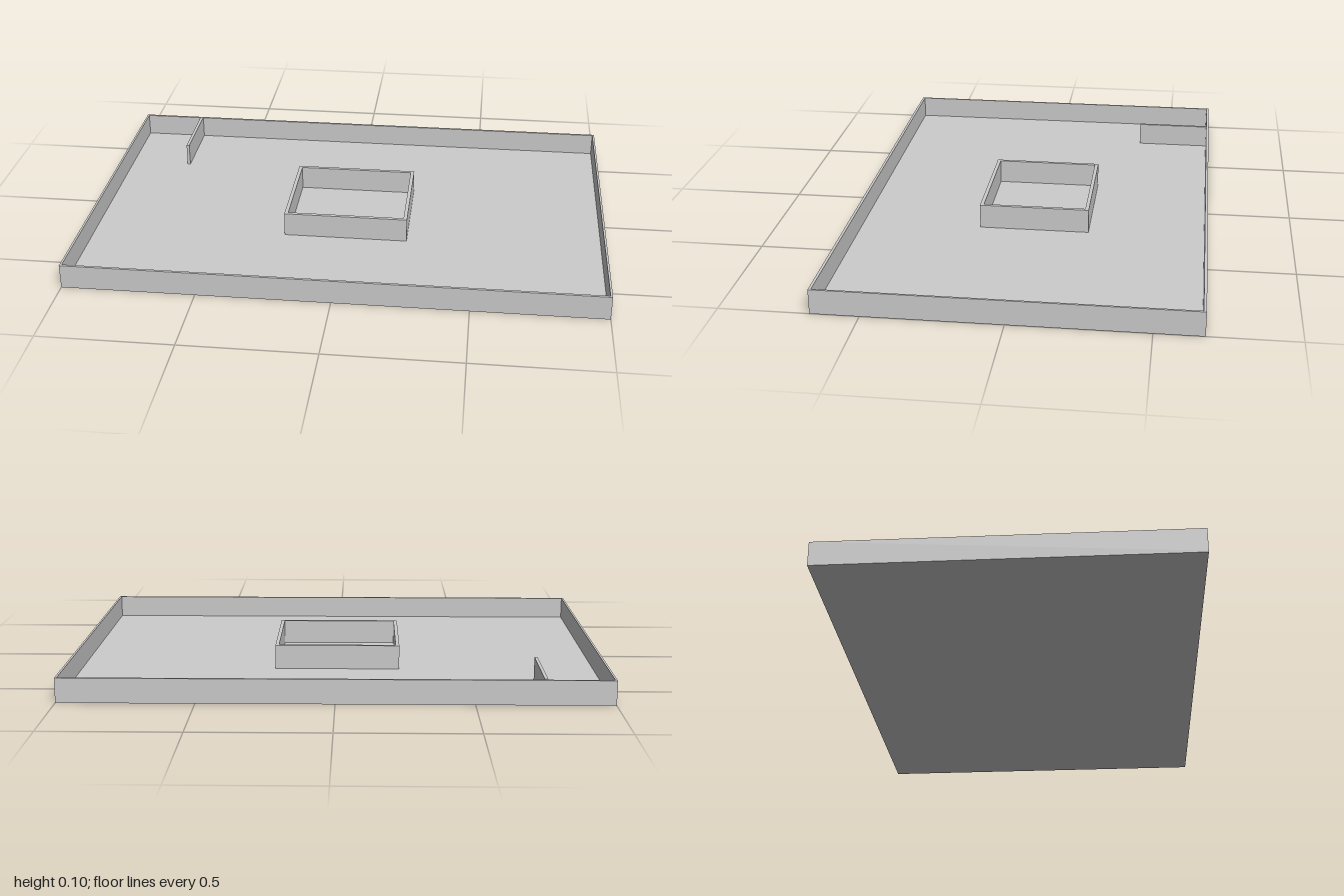
import * as THREE from 'three';

const material = new THREE.MeshStandardMaterial({ color: 0xcccccc, flatShading: true });

// Box given by its min and max corners
function block(name, [x0, y0, z0], [x1, y1, z1]) {
  const mesh = new THREE.Mesh(new THREE.BoxGeometry(x1 - x0, y1 - y0, z1 - z0), material);
  mesh.position.set((x0 + x1) / 2, (y0 + y1) / 2, (z0 + z1) / 2);
  mesh.name = name;
  return mesh;
}

// Rectangular wall ring: extruded outline with a rectangular hole
function wallRing(name, x, z0, z1, tx, tz, bottom, top) {
  const rect = (w, a, b) => [[-w, a], [w, a], [w, b], [-w, b]].map(([px, py]) => new THREE.Vector2(px, py));
  const shape = new THREE.Shape(rect(x, -z1, -z0));
  shape.holes.push(new THREE.Path(rect(x - tx, -z1 + tz, -z0 - tz).reverse()));
  const geometry = new THREE.ExtrudeGeometry(shape, { depth: top - bottom, bevelEnabled: false });
  geometry.rotateX(-Math.PI / 2);
  geometry.translate(0, bottom, 0);
  const mesh = new THREE.Mesh(geometry, material);
  mesh.name = name;
  return mesh;
}

export function createModel() {
  const model = new THREE.Group();
  model.name = 'walledFloor';
  const floorTop = 0.005;

  model.add(
    // Thin slab and the wall around its edge
    block('floor', [-1, 0, -0.675], [1, floorTop, 0.675]),
    wallRing('outerWall', 1, -0.675, 0.675, 0.008, 0.01, floorTop, 0.092),
    // Square enclosure in the middle, slightly taller
    wallRing('innerEnclosure', 0.24, -0.22, 0.203, 0.014, 0.014, floorTop, 0.098),
    // Short partition standing off the back wall
    block('partition', [-0.755, floorTop, -0.667], [-0.743, 0.095, -0.37]),
  );
  return model;
}
